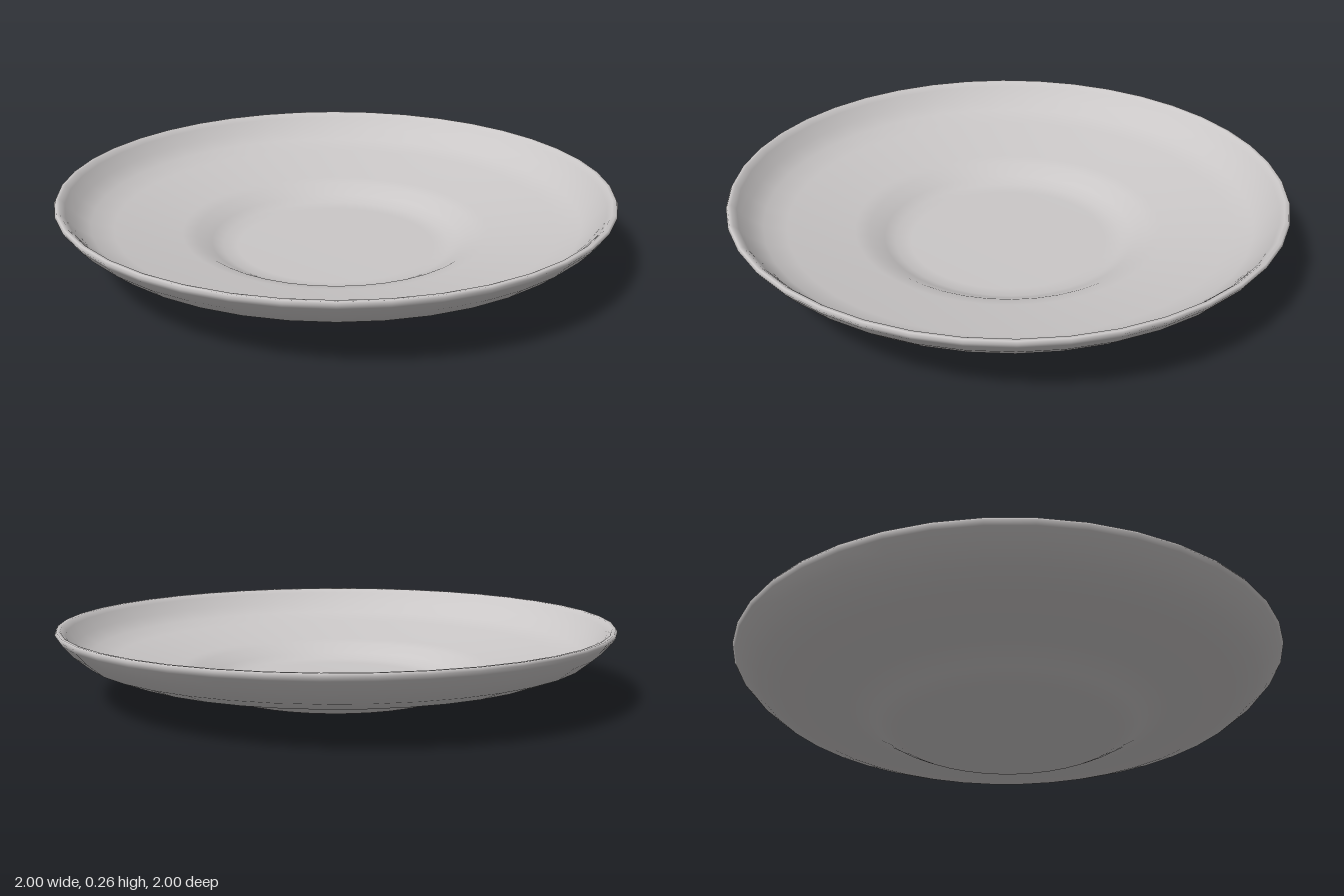
import * as THREE from 'three';

export function createModel() {
  const model = new THREE.Group();
  const porcelain = new THREE.MeshStandardMaterial({ color: 0xcac7c7 });
  porcelain.name = 'porcelain';

  // Closed profile: underside from the centre out, over the rim, then back inside
  const profile = [
    [0, 0.003], [0.38, 0.003], [0.43, 0.012], [0.475, 0.034], [0.525, 0.064], [0.58, 0.076],
    [0.81, 0.114], [0.9, 0.15], [0.955, 0.195], [0.99, 0.235], [0.999, 0.25],
    [0.993, 0.26], [0.98, 0.259], [0.963, 0.243], [0.93, 0.203], [0.88, 0.167],
    [0.8, 0.142], [0.56, 0.1], [0.51, 0.09], [0.455, 0.06], [0.415, 0.042],
    [0.36, 0.036], [0, 0.036],
  ].map(([r, y]) => new THREE.Vector2(r, y));

  const saucer = new THREE.Mesh(new THREE.LatheGeometry(profile, 40), porcelain);
  saucer.name = 'saucer';
  // The dish sits with a very slight lean
  saucer.rotation.set(-0.004, 0, -0.001);
  model.add(saucer);
  return model;
}
